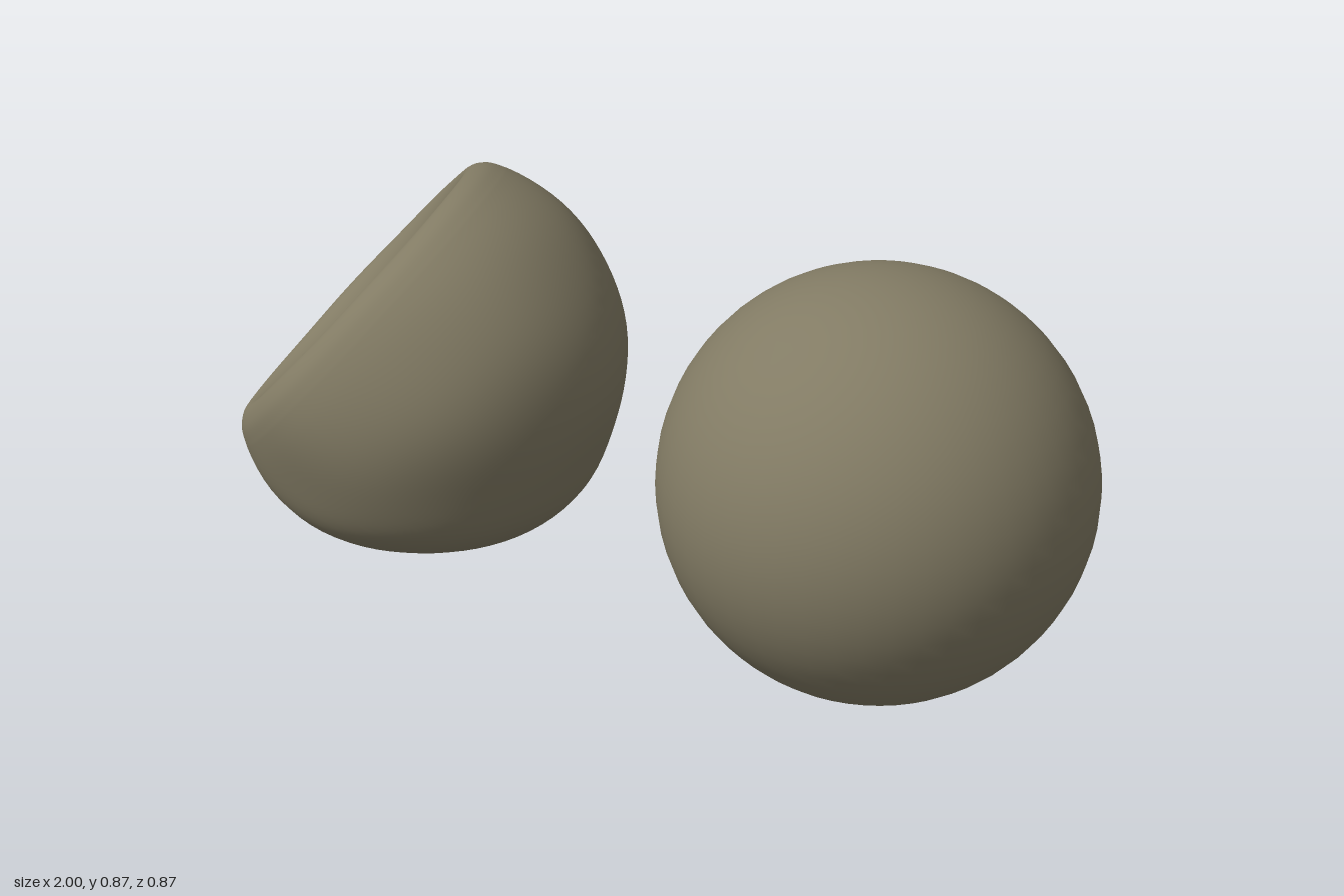
import * as THREE from 'three';
import { mergeVertices } from 'three/addons/utils/BufferGeometryUtils.js';

const BALL_RADIUS = 0.433;
const CENTER = new THREE.Vector3(-0.593, 0.387, 0);
const OPENING = new THREE.Vector3(-0.68, 0.66, 0.3).normalize();

// Profile of a ball whose cap is pushed inwards to form a bowl with a thick lip
function caveProfile() {
  const pts = [];
  const rimAngle = 0.34, steps = 30;
  for (let i = 0; i < steps; i++) {
    const a = -Math.PI / 2 + (i / steps) * (Math.PI / 2 + rimAngle);
    pts.push(new THREE.Vector2(BALL_RADIUS * Math.cos(a), BALL_RADIUS * Math.sin(a)));
  }
  const inner = new THREE.SplineCurve([
    [0.408, 0.144], [0.39, 0.18], [0.362, 0.203], [0.332, 0.204], [0.306, 0.178],
    [0.285, 0.12], [0.255, 0.045], [0.19, -0.02], [0.1, -0.055], [0, -0.065],
  ].map(([x, y]) => new THREE.Vector2(x, y)));
  pts.push(...inner.getPoints(36));
  pts[0].x = 0;
  pts[pts.length - 1].x = 0;
  return pts;
}

function dentedBallGeometry() {
  let geo = new THREE.LatheGeometry(caveProfile(), 72);
  geo.deleteAttribute('uv');
  geo.deleteAttribute('normal');
  geo = mergeVertices(geo, 1e-4);
  geo.applyQuaternion(new THREE.Quaternion().setFromUnitVectors(new THREE.Vector3(0, 1, 0), OPENING));

  const pos = geo.attributes.position;
  const p = new THREE.Vector3();
  for (let i = 0; i < pos.count; i++) {
    p.fromBufferAttribute(pos, i);
    // Gentle uneven lumps
    const lump = Math.sin(17 * p.x + 2) * Math.sin(15 * p.y + 1) + Math.sin(16 * p.z + 6 * p.x) * Math.cos(14 * p.y);
    p.multiplyScalar(1 + 0.005 * lump).add(CENTER);

    // Squashed foot spreads sideways
    const spread = 1 + 0.08 * Math.exp(-(((p.y - 0.06) / 0.11) ** 2));
    p.x = CENTER.x + (p.x - CENTER.x) * spread;
    p.z *= spread;

    // Flat base with a hollow in its middle, blended softly into the wall
    const r = Math.min(1, Math.hypot(p.x + 0.57, p.z + 0.03) / 0.22);
    const base = 0.08 * (1 - r * r) ** 2;
    p.y = (p.y + base + Math.hypot(p.y - base, 0.015)) / 2;
    pos.setXYZ(i, p.x, p.y, p.z);
  }
  geo.computeVertexNormals();
  return geo;
}

export function createModel() {
  const group = new THREE.Group();
  const clay = new THREE.MeshStandardMaterial({ color: 0x827b64 });
  clay.name = 'olive clay';

  // Whole ball
  const ball = new THREE.Mesh(new THREE.SphereGeometry(BALL_RADIUS, 48, 32), clay);
  ball.name = 'roundBall';
  ball.position.set(0.567, 0.437, 0);

  // Caved-in ball
  const dented = new THREE.Mesh(dentedBallGeometry(), clay);
  dented.name = 'dentedBall';

  group.add(ball, dented);
  return group;
}
